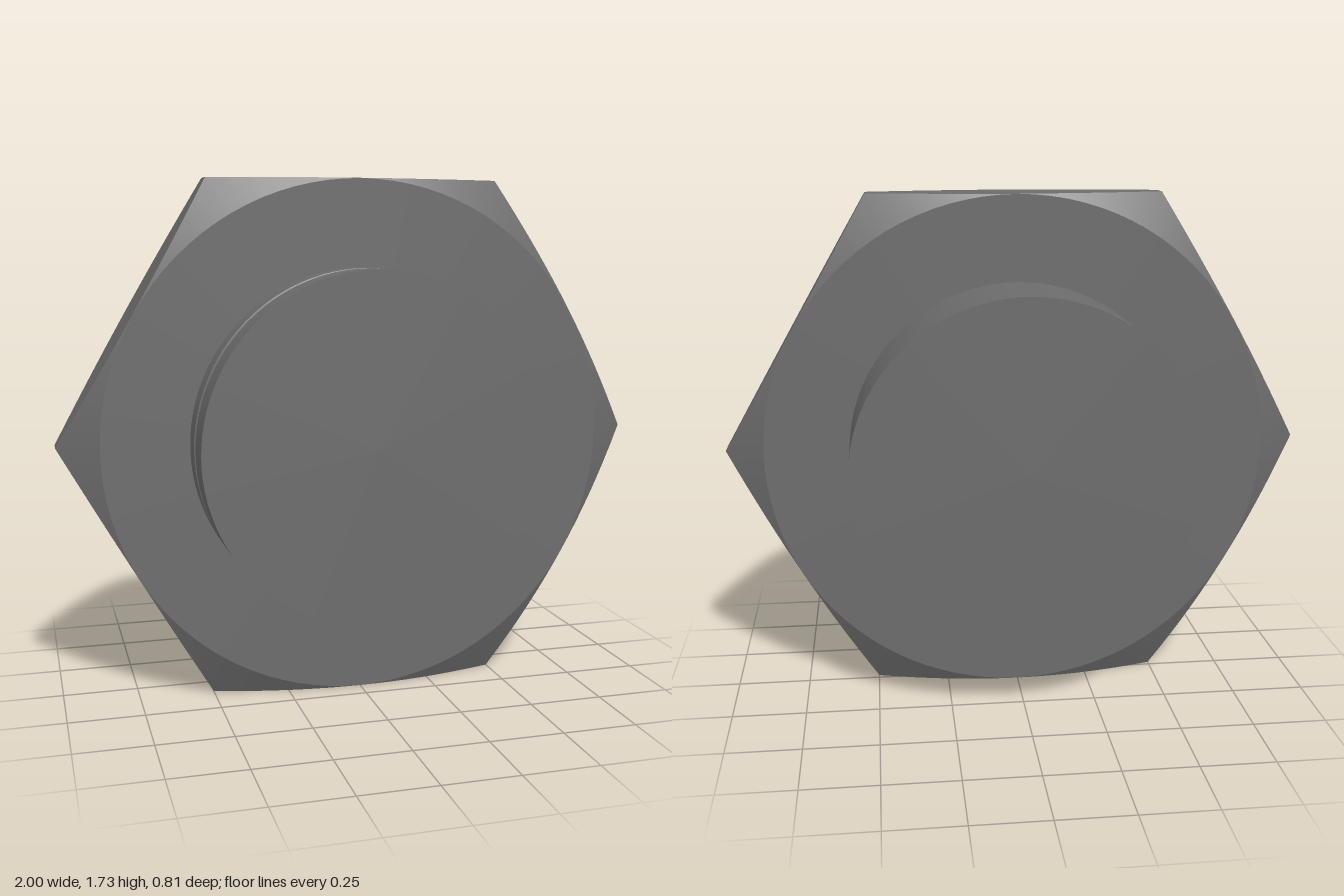
import * as THREE from 'three';
import { toCreasedNormals } from 'three/addons/utils/BufferGeometryUtils.js';

const SEGMENTS = 96;
const APOTHEM = Math.sqrt(3) / 2;

// Turn a [radius, z] profile about the z axis, listed from back to front
function turned(profile, reshape) {
  const geo = new THREE.LatheGeometry(profile.map(([r, z]) => new THREE.Vector2(r, z)), SEGMENTS);
  geo.rotateX(Math.PI / 2);
  if (reshape) reshape(geo.attributes.position);
  return toCreasedNormals(geo, 0.3);
}

// Push the rim of a unit disc in to a hexagon and chamfer its corners
function hexRim(pos) {
  const middle = 0.057, halfDepth = 0.117, slope = Math.tan(Math.PI / 6);
  for (let i = 0; i < pos.count; i++) {
    const x = pos.getX(i), y = pos.getY(i);
    if (Math.hypot(x, y) < 0.9) continue;
    const a = Math.atan2(y, x), step = Math.PI / 3;
    const offset = a - (Math.floor(a / step + 1e-6) + 0.5) * step;
    const r = APOTHEM / Math.cos(offset);
    const half = halfDepth - (r - APOTHEM) * slope;
    pos.setXYZ(i, r * Math.cos(a), r * Math.sin(a), middle + Math.sign(pos.getZ(i) - middle) * half);
  }
}

export function createModel() {
  const group = new THREE.Group();
  group.name = 'hexPlug';
  const material = new THREE.MeshStandardMaterial({ color: 0x6c6c6c });

  const add = (name, geometry) => {
    const mesh = new THREE.Mesh(geometry, material);
    mesh.name = name;
    mesh.position.y = APOTHEM;
    group.add(mesh);
  };

  // Hexagonal flange with chamfered corners
  add('hexFlange', turned([
    [0, -0.06], [0.865, -0.06], [1, -0.06], [1, 0.174], [0.865, 0.174], [0, 0.174],
  ], hexRim));

  // Plain round boss behind the flange
  add('rearBoss', turned([[0, -0.403], [0.576, -0.403], [0.576, -0.06]]));

  // Front boss with a tapered groove behind its end disc
  add('frontBoss', turned([
    [0.576, 0.174], [0.576, 0.257], [0.52, 0.288], [0.576, 0.288], [0.576, 0.403], [0, 0.403],
  ]));

  return group;
}
